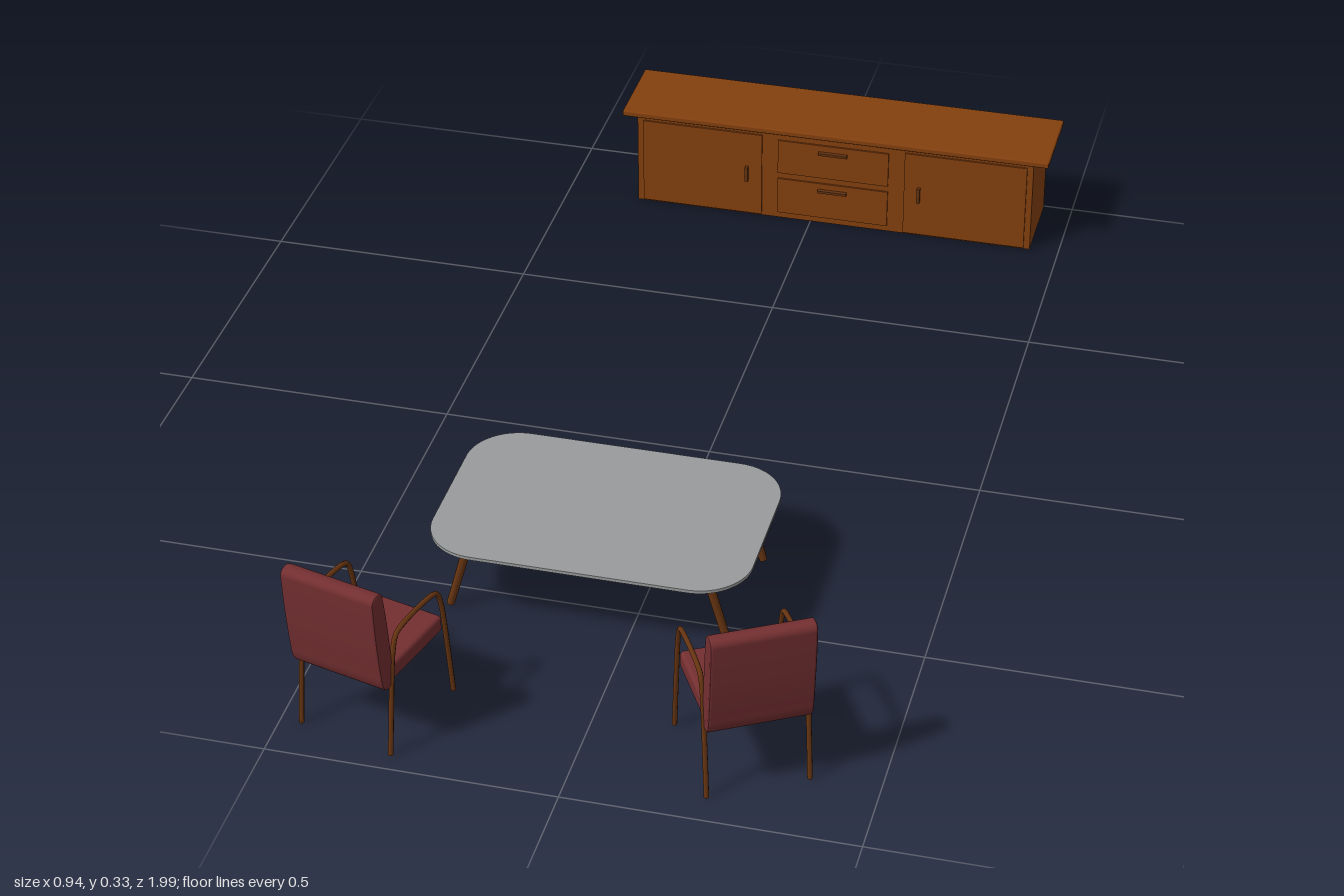
import * as THREE from 'three';
import { RoundedBoxGeometry } from 'three/addons/geometries/RoundedBoxGeometry.js';

const material = (name, color) => {
  const m = new THREE.MeshStandardMaterial({ color });
  m.name = name;
  return m;
};

export function createModel() {
  const wood = material('sideboard wood', 0x84400e);
  const darkWood = material('dark leg wood', 0x663411);
  const upholstery = material('maroon upholstery', 0x742f31);
  const tabletop = material('grey tabletop', 0x999a9b);

  const add = (parent, name, geometry, mat, x = 0, y = 0, z = 0) => {
    const mesh = new THREE.Mesh(geometry, mat);
    mesh.name = name;
    mesh.position.set(x, y, z);
    parent.add(mesh);
    return mesh;
  };
  const group = (parent, name, x, z, turn = 0) => {
    const g = new THREE.Group();
    g.name = name;
    g.position.set(x, 0, z);
    g.rotation.y = turn;
    parent.add(g);
    return g;
  };
  const box = (w, h, d) => new THREE.BoxGeometry(w, h, d);

  const model = new THREE.Group();
  model.name = 'loungeFurniture';

  // Sideboard: carcass, overhanging top, doors and drawers
  const sideboard = group(model, 'sideboard', 0.044, -0.912);
  add(sideboard, 'carcass', box(0.798, 0.19, 0.164), wood, 0, 0.095, 0);
  add(sideboard, 'sideboardTop', new RoundedBoxGeometry(0.857, 0.012, 0.176, 2, 0.003), wood, 0, 0.197, 0);
  const face = 0.0835;
  for (const s of [-1, 1]) {
    add(sideboard, 'door', box(0.243, 0.181, 0.004), wood, s * 0.2655, 0.094, face);
    add(sideboard, 'doorHandle', box(0.006, 0.032, 0.008), darkWood, s * 0.174, 0.095, face + 0.006);
  }
  for (const [y, h, handleY] of [[0.141, 0.074, 0.162], [0.052, 0.078, 0.076]]) {
    add(sideboard, 'drawer', box(0.223, h, 0.004), wood, 0, y, face);
    add(sideboard, 'drawerHandle', box(0.058, 0.005, 0.008), darkWood, 0, handleY, face + 0.006);
  }

  // Low table: rounded slab on four legs splayed sideways
  const table = group(model, 'table', -0.074, 0.427);
  const w = 0.281, d = 0.1885, r = 0.092;
  const slab = new THREE.Shape();
  slab.absarc(w - r, d - r, r, 0, Math.PI / 2);
  slab.absarc(r - w, d - r, r, Math.PI / 2, Math.PI);
  slab.absarc(r - w, r - d, r, Math.PI, Math.PI * 1.5);
  slab.absarc(w - r, r - d, r, Math.PI * 1.5, Math.PI * 2);
  const slabGeometry = new THREE.ExtrudeGeometry(slab, { depth: 0.006, bevelEnabled: false, curveSegments: 12 });
  slabGeometry.rotateX(-Math.PI / 2);
  add(table, 'tabletop', slabGeometry, tabletop, 0, 0.15, 0);
  for (const sx of [-1, 1]) for (const sz of [-1, 1]) {
    const leg = add(table, 'tableLeg', new THREE.CylinderGeometry(0.008, 0.007, 0.152, 12), darkWood,
      sx * 0.226, 0.077, sz * 0.126);
    leg.rotation.z = sx * 0.27;
  }

  // Armchair, facing its own +z
  const backProfile = new THREE.Shape();
  backProfile.moveTo(-0.066, 0.138);
  backProfile.quadraticCurveTo(-0.07, 0.24, -0.084, 0.322);
  backProfile.quadraticCurveTo(-0.086, 0.33, -0.097, 0.33);
  backProfile.quadraticCurveTo(-0.11, 0.33, -0.109, 0.318);
  backProfile.quadraticCurveTo(-0.106, 0.24, -0.096, 0.17);
  backProfile.quadraticCurveTo(-0.094, 0.145, -0.084, 0.138);
  const backGeometry = new THREE.ExtrudeGeometry(backProfile, {
    depth: 0.168, bevelThickness: 0.004, bevelSize: 0.003, bevelSegments: 2, curveSegments: 8,
  });
  backGeometry.translate(0, 0, -0.084);
  backGeometry.rotateY(-Math.PI / 2);

  // One bent tube runs up the front leg, along the arm and down the back leg
  const framePath = new THREE.CatmullRomCurve3([
    [0.005, 0.109], [0.1, 0.098], [0.2, 0.084], [0.226, 0.073], [0.233, 0.048],
    [0.233, -0.025], [0.226, -0.05], [0.2, -0.061], [0.1, -0.074], [0.005, -0.084],
  ].map(([y, z]) => new THREE.Vector3(0, y, z)));
  const frameGeometry = new THREE.TubeGeometry(framePath, 48, 0.0045, 8);
  const footGeometry = new THREE.CylinderGeometry(0.0045, 0.0045, 0.004, 8);

  const chair = (name, x, z, turn) => {
    const g = group(model, name, x, z, turn);
    add(g, 'seat', new RoundedBoxGeometry(0.166, 0.032, 0.166, 3, 0.007), upholstery, 0, 0.151, 0.01);
    add(g, 'backrest', backGeometry, upholstery);
    for (const s of [-1, 1]) {
      add(g, 'armAndLegs', frameGeometry, darkWood, s * 0.087);
      for (const fz of [0.109, -0.084]) add(g, 'foot', footGeometry, darkWood, s * 0.087, 0.004, fz);
    }
  };
  chair('rightArmchair', -0.357, 0.862, Math.PI - 0.254);
  chair('leftArmchair', 0.265, 0.828, Math.PI + 0.52);

  return model;
}
